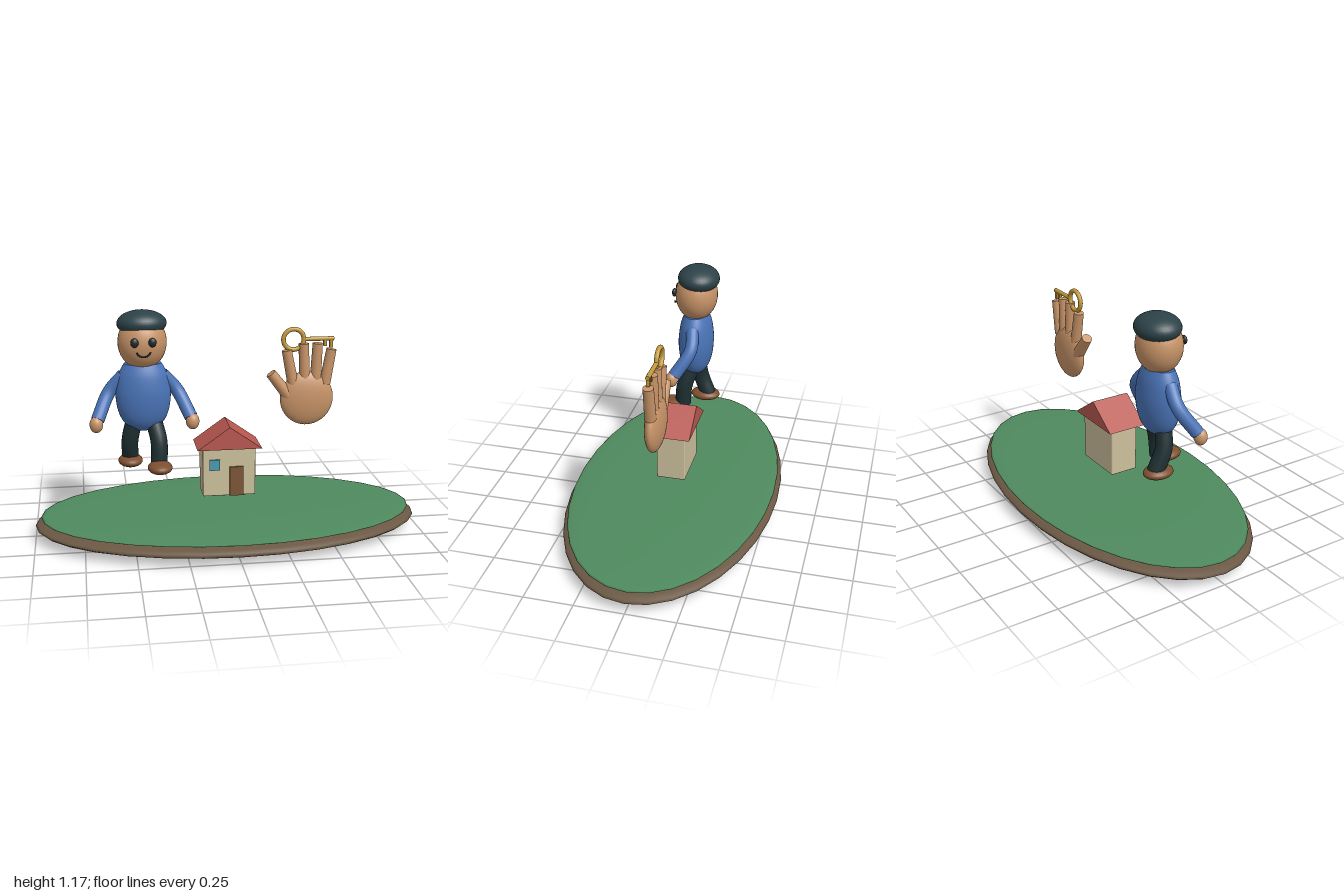
import * as THREE from 'three';
import { RoundedBoxGeometry } from 'three/addons/geometries/RoundedBoxGeometry.js';

const V = (x, y, z) => new THREE.Vector3(x, y, z);
const mat = (color) => new THREE.MeshStandardMaterial({ color });

export function createModel() {
  const skin = mat(0xc89468), shirt = mat(0x4a74b8), trousers = mat(0x1f3033);
  const capMat = mat(0x2c4248), shoeMat = mat(0x7e4f2f), dark = mat(0x1c2a2e);
  const soilMat = mat(0x6b5844), grassMat = mat(0x4f8a5e);
  const wallMat = mat(0xcdc09c), roofMat = mat(0xb85850), doorMat = mat(0x7d5537);
  const glass = mat(0x4a9bb0), gold = mat(0xc49a3c);
  const model = new THREE.Group();

  const group = (name) => {
    const g = new THREE.Group();
    g.name = name;
    model.add(g);
    return g;
  };
  const add = (parent, name, geometry, material, x = 0, y = 0, z = 0) => {
    const m = new THREE.Mesh(geometry, material);
    m.name = name;
    m.position.set(x, y, z);
    parent.add(m);
    return m;
  };
  const ellipsoid = (parent, name, material, [x, y, z], [rx, ry, rz], seg = 32) => {
    const m = add(parent, name, new THREE.SphereGeometry(1, seg, seg * 0.625), material, x, y, z);
    m.scale.set(rx, ry, rz);
    return m;
  };
  // tapered rod between two points
  const rod = (parent, name, material, a, b, ra, rb) => {
    const m = add(parent, name, new THREE.CylinderGeometry(rb, ra, a.distanceTo(b), 20), material);
    m.position.copy(a).lerp(b, 0.5);
    m.quaternion.setFromUnitVectors(V(0, 1, 0), b.clone().sub(a).normalize());
    return m;
  };
  // bent limb with flat closed ends
  const limb = (parent, name, material, points, r) => {
    const g = new THREE.Group();
    g.name = name;
    parent.add(g);
    const curve = new THREE.CatmullRomCurve3(points);
    add(g, name + 'Tube', new THREE.TubeGeometry(curve, 24, r, 18), material);
    for (const [t, s] of [[0, -1], [1, 1]]) {
      const p = curve.getPointAt(t);
      const end = add(g, name + 'End', new THREE.CircleGeometry(r, 18), material, p.x, p.y, p.z);
      end.quaternion.setFromUnitVectors(V(0, 0, 1), curve.getTangentAt(t).multiplyScalar(s));
    }
  };

  // Ground: two flattened discs
  const ground = group('ground');
  ellipsoid(ground, 'soil', soilMat, [0, 0.06, 0], [1, 0.06, 0.545]);
  ellipsoid(ground, 'grass', grassMat, [0, 0.104, 0], [0.97, 0.02, 0.525]);

  // House
  const house = group('house');
  add(house, 'walls', new RoundedBoxGeometry(0.274, 0.26, 0.15, 2, 0.006), wallMat, 0, 0.33, 0);
  const gable = new THREE.Shape([[-0.167, 0.457], [0.167, 0.457], [0, 0.575]].map(([x, y]) => new THREE.Vector2(x, y)));
  add(house, 'roof', new THREE.ExtrudeGeometry(gable, { depth: 0.208, bevelEnabled: false }), roofMat, 0, 0, -0.104);
  add(house, 'door', new THREE.BoxGeometry(0.072, 0.156, 0.014), doorMat, 0.037, 0.28, 0.078);
  add(house, 'window', new THREE.BoxGeometry(0.054, 0.056, 0.014), glass, -0.077, 0.37, 0.078);

  // Figure, built around its own x = 0
  const figure = group('figure');
  figure.position.x = -0.43;
  const profile = [[0, 0.55], [0.04, 0.556], [0.08, 0.577], [0.112, 0.615], [0.132, 0.67], [0.14, 0.735],
    [0.136, 0.79], [0.122, 0.85], [0.095, 0.902]].map(([r, y]) => new THREE.Vector2(r, y));
  const smooth = new THREE.SplineCurve(profile).getPoints(28);
  smooth[0].x = 0;
  add(figure, 'torso', new THREE.LatheGeometry(smooth, 36), shirt).scale.z = 0.665;
  const collar = add(figure, 'shoulderTop', new THREE.CircleGeometry(0.095, 36), shirt, 0, 0.902, 0);
  collar.rotation.x = -Math.PI / 2;
  collar.scale.y = 0.665;
  ellipsoid(figure, 'head', skin, [0, 1.01, 0], [0.123, 0.14, 0.112]);
  ellipsoid(figure, 'cap', capMat, [0, 1.103, -0.011], [0.125, 0.067, 0.11]).rotation.x = -0.05;
  const smile = add(figure, 'mouth', new THREE.TorusGeometry(0.036, 0.004, 8, 20, Math.PI * 0.8), dark, 0, 0.99, 0.112);
  smile.rotation.z = Math.PI * 1.1;

  for (const s of [-1, 1]) {
    const side = s > 0 ? 'left' : 'right';
    ellipsoid(figure, side + 'Eye', dark, [s * 0.044, 1.026, 0.111], [0.02, 0.023, 0.013], 20);
    limb(figure, side + 'Arm', shirt,
      [V(s * 0.098, 0.842, -0.002), V(s * 0.172, 0.755, -0.008), V(s * 0.235, 0.63, 0.065)], 0.034);
    ellipsoid(figure, side + 'Hand', skin, [s * 0.242, 0.61, 0.078], [0.034, 0.042, 0.033], 24);
    // striding legs: left forward, right back
    limb(figure, side + 'Leg', trousers, s > 0
      ? [V(0.045, 0.62, 0), V(0.072, 0.5, 0.045), V(0.07, 0.385, 0.056)]
      : [V(-0.045, 0.62, 0), V(-0.072, 0.5, -0.012), V(-0.07, 0.385, -0.056)], 0.043);
    ellipsoid(figure, side + 'Shoe', shoeMat, [s * 0.071, 0.38, s > 0 ? 0.105 : -0.04], [0.063, 0.031, 0.08], 24);
  }

  // Raised open hand
  const hand = group('openHand');
  ellipsoid(hand, 'palm', skin, [0.415, 0.69, 0], [0.14, 0.143, 0.045]);
  const fingers = [[0.342, 0.77, 0.307, 0.945], [0.403, 0.78, 0.395, 0.977],
    [0.46, 0.78, 0.468, 0.977], [0.51, 0.765, 0.541, 0.945]];
  fingers.forEach(([x0, y0, x1, y1], i) =>
    rod(hand, 'finger' + (i + 1), skin, V(x0, y0, 0), V(x1, y1, 0), 0.029, 0.026));
  rod(hand, 'thumb', skin, V(0.335, 0.685, 0), V(0.226, 0.826, 0), 0.033, 0.027);

  // Key resting over the fingertips
  const key = group('key');
  add(key, 'keyRing', new THREE.TorusGeometry(0.053, 0.012, 12, 32), gold, 0.342, 1, 0);
  rod(key, 'keyShaft', gold, V(0.395, 1, 0), V(0.552, 1, 0), 0.011, 0.011);
  add(key, 'keyTooth1', new THREE.BoxGeometry(0.016, 0.036, 0.016), gold, 0.506, 0.981, 0);
  add(key, 'keyTooth2', new THREE.BoxGeometry(0.016, 0.046, 0.016), gold, 0.538, 0.977, 0);

  return model;
}
